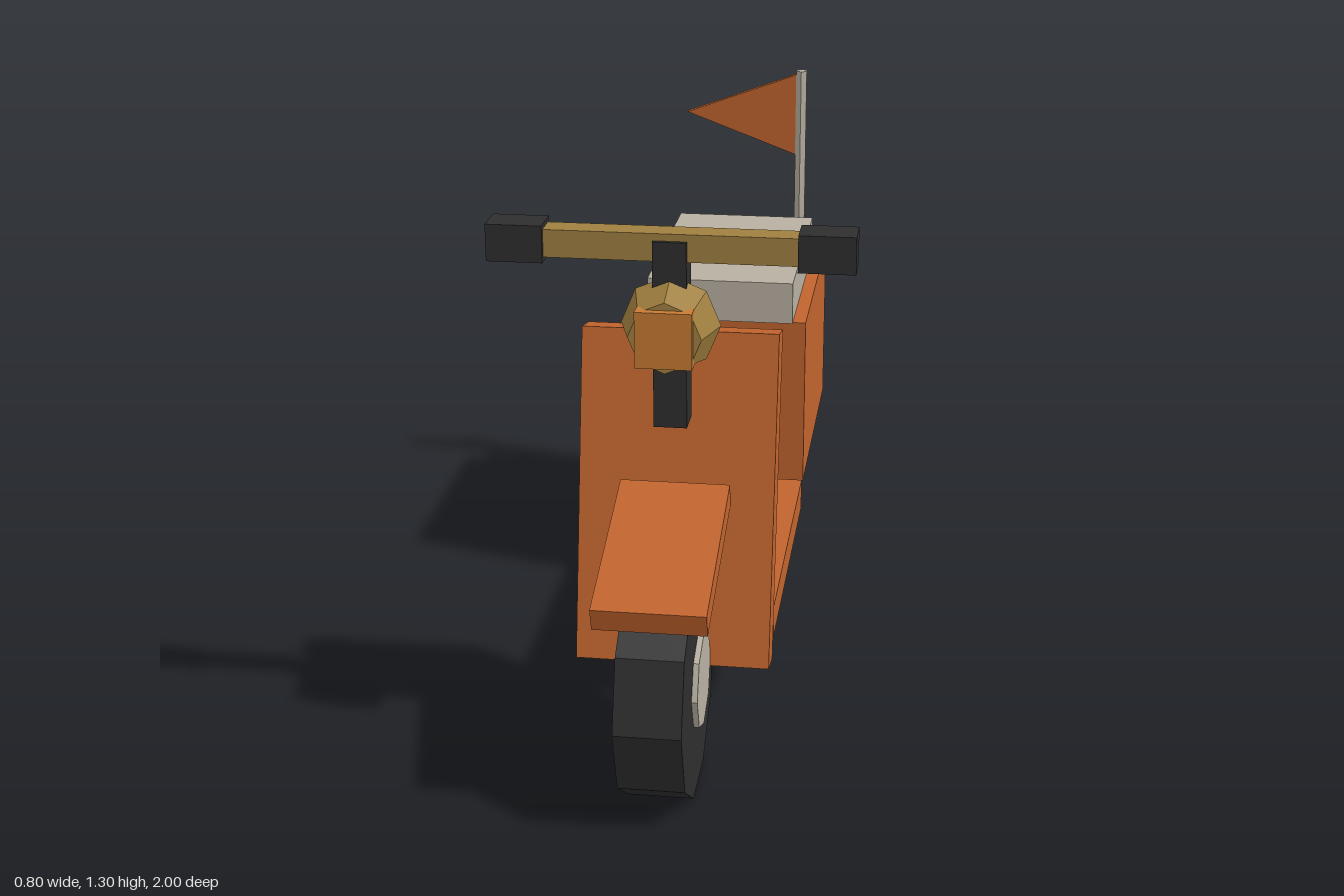
import * as THREE from 'three';

export function createModel() {
  const model = new THREE.Group();
  model.name = 'scooter';

  const mat = (name, color) => {
    const m = new THREE.MeshStandardMaterial({ color, flatShading: true });
    m.name = name;
    return m;
  };
  const orange = mat('orange paint', 0xc1642e);
  const black = mat('black rubber', 0x2e2e2e);
  const grey = mat('warm grey', 0xb8b0a2);
  const gold = mat('brass', 0xa08040);
  const amber = mat('amber lens', 0xc87c34);

  const add = (name, geometry, material, x, y, z) => {
    const mesh = new THREE.Mesh(geometry, material);
    mesh.name = name;
    mesh.position.set(x, y, z);
    model.add(mesh);
    return mesh;
  };
  const box = (name, material, w, h, d, x, y, z) =>
    add(name, new THREE.BoxGeometry(w, h, d), material, x, y, z);

  // Wheels: ten-sided tyres with eight-sided hubs
  for (const [side, z] of [['front', 0.727], ['rear', -0.719]]) {
    const tyre = new THREE.CylinderGeometry(0.273, 0.273, 0.15, 10).rotateZ(Math.PI / 2);
    const hub = new THREE.CylinderGeometry(0.113, 0.113, 0.176, 8).rotateZ(Math.PI / 2);
    add(side + 'Tyre', tyre, black, 0, 0.26, z);
    add(side + 'Hub', hub, grey, 0, 0.262, z);
  }

  // Body
  box('floorboard', orange, 0.424, 0.082, 0.77, 0, 0.24, 0.005);
  box('rearBody', orange, 0.448, 0.446, 0.695, 0, 0.55, -0.62);
  box('seat', grey, 0.38, 0.109, 0.62, 0, 0.8275, -0.572);
  box('tailLight', gold, 0.324, 0.195, 0.05, 0, 0.538, -0.975);
  box('legShield', orange, 0.448, 0.774, 0.086, 0, 0.61, 0.503).rotation.x = -0.209;
  box('frontFender', orange, 0.25, 0.057, 0.425, 0, 0.575, 0.752).rotation.x = 0.305;

  // Steering
  box('steeringColumn', black, 0.074, 0.424, 0.074, 0, 1.038, 0.589);
  box('handlebar', gold, 0.6, 0.062, 0.06, 0, 1.235, 0.586);
  for (const s of [1, -1]) {
    box(s > 0 ? 'leftGrip' : 'rightGrip', black, 0.124, 0.083, 0.083, s * 0.338, 1.235, 0.586);
  }

  // Headlight: tapered octagon with a square lens
  const lamp = new THREE.CylinderGeometry(0.08, 0.11, 0.1, 8).rotateX(Math.PI / 2);
  add('headlight', lamp, gold, 0, 1.06, 0.653);
  box('headlightLens', amber, 0.124, 0.126, 0.04, 0, 1.06, 0.702);

  // Flag on its pole
  add('flagPole', new THREE.CylinderGeometry(0.017, 0.017, 0.535, 6), grey, 0.149, 1.03, -0.92);
  const pennant = new THREE.Shape([
    new THREE.Vector2(0.149, 1.292),
    new THREE.Vector2(-0.174, 1.173),
    new THREE.Vector2(0.149, 1.053),
  ]);
  const cloth = new THREE.ExtrudeGeometry(pennant, { depth: 0.02, bevelEnabled: false });
  add('flag', cloth, orange, 0, 0, -0.932);

  return model;
}
